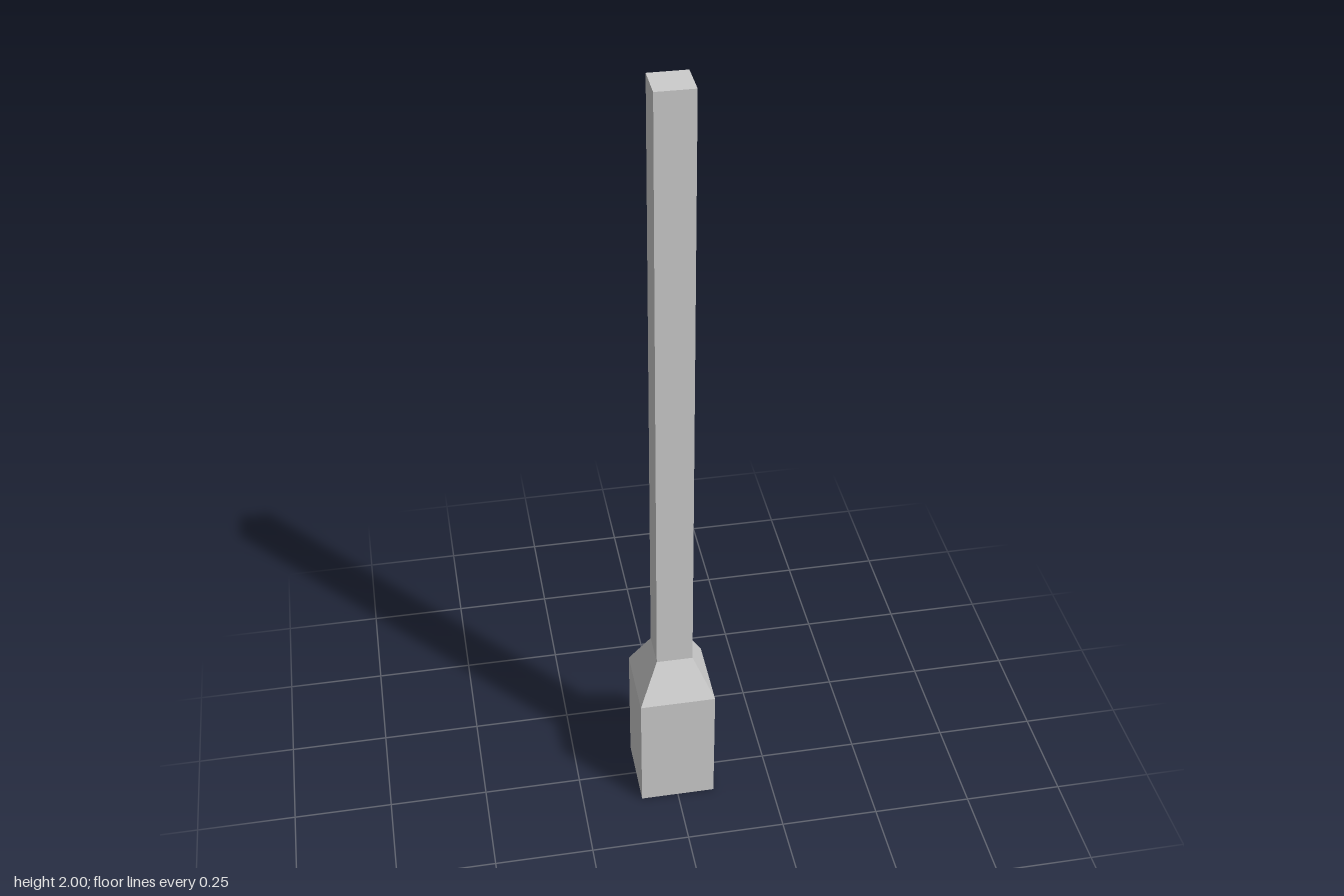
import * as THREE from 'three';

export function createModel() {
  const group = new THREE.Group();
  group.name = 'squarePost';

  const grey = new THREE.MeshStandardMaterial({
    color: 0xcccccc, flatShading: true, side: THREE.DoubleSide,
  });
  grey.name = 'light grey';

  const baseHalf = 0.096, shaftHalf = 0.046;
  const baseTop = 0.33, taperTop = 0.435, top = 2;

  // Open four-sided tube between two heights, given half-widths at each end
  function squareTube(name, y0, y1, half0, half1) {
    const geometry = new THREE.CylinderGeometry(
      half1 * Math.SQRT2, half0 * Math.SQRT2, y1 - y0, 4, 1, true, Math.PI / 4);
    const mesh = new THREE.Mesh(geometry, grey);
    mesh.name = name;
    mesh.position.y = (y0 + y1) / 2;
    group.add(mesh);
  }

  // Hollow base, sloped shoulder and tall shaft; the underside stays open
  squareTube('base', 0, baseTop, baseHalf, baseHalf);
  squareTube('shoulder', baseTop, taperTop, baseHalf, shaftHalf);
  squareTube('shaft', taperTop, top, shaftHalf, shaftHalf);

  // Flat cap closing the shaft
  const cap = new THREE.Mesh(new THREE.PlaneGeometry(shaftHalf * 2, shaftHalf * 2), grey);
  cap.name = 'topCap';
  cap.rotation.x = -Math.PI / 2;
  cap.position.y = top;
  group.add(cap);

  return group;
}
